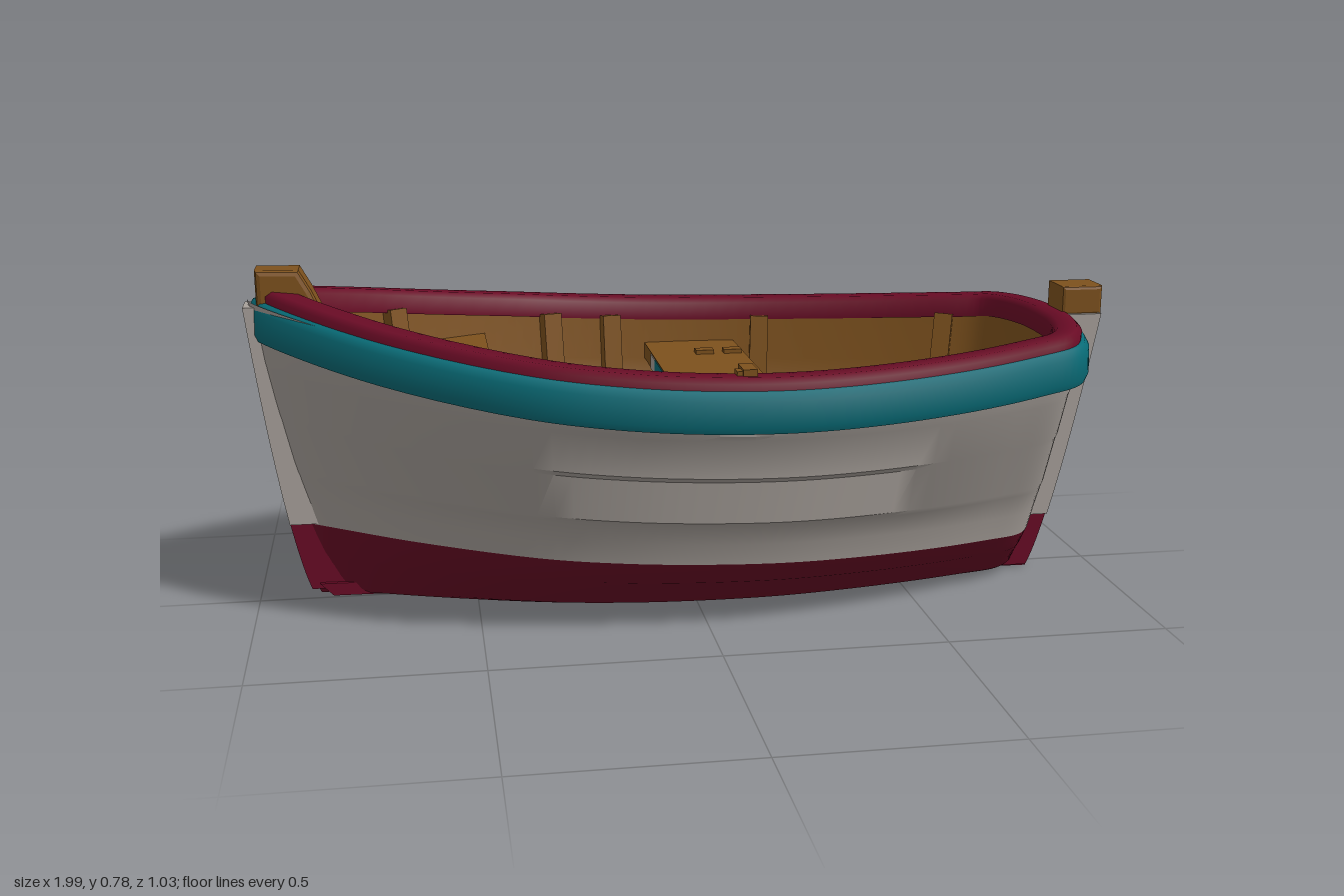
import * as THREE from 'three';
import { toCreasedNormals } from 'three/addons/utils/BufferGeometryUtils.js';

const paint = (name, color) => {
  const m = new THREE.MeshStandardMaterial({ color });
  m.name = name;
  return m;
};

// Half of the widest plan outline, bow (-x) to stern (+x)
const outline = new THREE.CatmullRomCurve3([
  [-0.985, 0], [-0.975, 0.035], [-0.9, 0.122], [-0.7, 0.287], [-0.4, 0.445], [-0.2, 0.495], [0, 0.512],
  [0.2, 0.505], [0.4, 0.468], [0.6, 0.41], [0.75, 0.35], [0.85, 0.3], [0.9, 0.22], [0.93, 0.1], [0.935, 0],
].map(([x, z]) => new THREE.Vector3(x, 0, z)));
const KNOTS = 14;
const BEAM = 0.512;

// Rail height, paint line and end edges along the boat
const sheer = (x) => 0.603 + (x < 0.2 ? 0.099 : 0.06) * (x - 0.2) ** 2;
const paintLine = (x) => 0.16 - 0.035 * x;
const bowEdge = (y) => -0.855 - 0.14 * (y / 0.7) ** 0.6;
const sternEdge = (y) => 0.83 + 0.16 * (y / 0.63) ** 0.75;

// Loop parameter u: 0 bow, 0.5 stern, 1 bow again on the other side
const side = (u) => (u <= 0.5 ? [u * 2, 1] : [2 - u * 2, -1]);

// Point on the hull for a midship profile point (y, w)
function hullPoint(u, y, w, shrink = 1) {
  const [t, s] = side(u);
  const o = outline.getPoint(t);
  const py = y < 0.15
    ? y * paintLine(o.x) / 0.15
    : paintLine(o.x) + (y - 0.15) / 0.455 * (sheer(o.x) - paintLine(o.x));
  const along = (o.x + 0.985) / 1.92;
  const x0 = bowEdge(py) + 0.01;
  const x1 = 0.8 + 0.12 * (py / 0.6) ** 0.7;
  const fullness = 1 + 0.45 * Math.max(0, 1 - y / 0.5);
  const z = w * (Math.max(o.z, 0) / BEAM) ** fullness;
  return [(x0 + (x1 - x0) * along) * shrink, py, s * z];
}
const liningPoint = (u, y, w) => hullPoint(u, y, w, 0.94);

// Point on a band: d inward from the outline, h relative to the rail top
function bandPoint(u, d, h) {
  const [t, s] = side(u);
  const o = outline.getPoint(t);
  const n = outline.getTangent(t);
  return [o.x + n.z * d, sheer(o.x) + h, s * Math.max(0, o.z - n.x * d)];
}

// Surface swept around the boat through a list of profile points
function sweep(pointAt, profile, crease = 0.6) {
  const nu = 140, rows = profile.length, pos = [], idx = [];
  for (let i = 0; i <= nu; i++) for (const p of profile) pos.push(...pointAt(i / nu, ...p));
  for (let i = 0; i < nu; i++) for (let j = 0; j < rows - 1; j++) {
    const a = i * rows + j, b = a + rows;
    idx.push(a, b, b + 1, a, b + 1, a + 1);
  }
  const g = new THREE.BufferGeometry();
  g.setAttribute('position', new THREE.Float32BufferAttribute(pos, 3));
  g.setIndex(idx);
  return toCreasedNormals(g, crease);
}

// Side-view polygon given thickness across the boat
function sideProfile(points, width, bevel = 0) {
  const g = new THREE.ExtrudeGeometry(new THREE.Shape(points.map((p) => new THREE.Vector2(...p))), {
    depth: width - 2 * bevel, bevelEnabled: bevel > 0, bevelSize: bevel, bevelThickness: bevel,
    bevelOffset: -bevel, bevelSegments: 2,
  });
  return g.translate(0, 0, -width / 2 + bevel);
}

// Curved end post between two heights; inset points into the hull
function post(edge, y0, y1, inset, width) {
  const outer = [], inner = [];
  for (let i = 0; i <= 8; i++) {
    const y = y0 + (y1 - y0) * i / 8;
    outer.push([edge(y), y]);
    inner.unshift([edge(y) + inset, y]);
  }
  return sideProfile([...outer, ...inner], width);
}

// Plank seat with ends that follow the hull
function seat(x0, x1, z0, z1, top) {
  const s = new THREE.Shape([[x0, -z0], [x1, -z1], [x1, z1], [x0, z0]].map((p) => new THREE.Vector2(...p)));
  return new THREE.ExtrudeGeometry(s, { depth: 0.04, bevelEnabled: false })
    .rotateX(Math.PI / 2).translate(0, top, 0);
}

// Upright timber leaning with the lining at loop position u
function rib(u) {
  const foot = new THREE.Vector3(...liningPoint(u, 0.33, 0.385));
  const head = new THREE.Vector3(...liningPoint(u, 0.56, 0.42));
  const next = new THREE.Vector3(...liningPoint(u + 0.005, 0.33, 0.385));
  const up = head.clone().sub(foot);
  const height = up.length();
  up.normalize();
  const out = next.sub(foot).cross(up).normalize();
  const along = up.clone().cross(out);
  const mid = foot.add(head).multiplyScalar(0.5).addScaledVector(out, -0.012);
  return new THREE.BoxGeometry(0.045, height, 0.04)
    .applyMatrix4(new THREE.Matrix4().makeBasis(along, up, out).setPosition(mid));
}

const box = (w, h, d, x, y, z) => new THREE.BoxGeometry(w, h, d).translate(x, y, z);

export function createModel() {
  const boat = new THREE.Group();
  boat.name = 'rowingBoat';
  const red = paint('darkRed', 0x690b25);
  const teal = paint('teal', 0x086a75);
  const white = paint('weatheredWhite', 0xa8a19b);
  const wood = paint('brownWood', 0x7d511d);
  const add = (name, geometry, material) => {
    const m = new THREE.Mesh(geometry, material);
    m.name = name;
    boat.add(m);
  };

  // Hull: painted bottom and lapped side planks
  add('hullBottom', sweep(hullPoint, [
    [0.012, 0], [0.018, 0.2], [0.026, 0.228], [0.085, 0.292], [0.093, 0.308], [0.14, 0.352], [0.15, 0.362],
  ]), red);
  add('hullPlanks', sweep(hullPoint, [
    [0.15, 0.362], [0.2, 0.374], [0.25, 0.398], [0.262, 0.412], [0.36, 0.428], [0.372, 0.442],
    [0.46, 0.454], [0.472, 0.464], [0.58, 0.475],
  ]), white);

  // Inner lining and floor
  add('lining', sweep(liningPoint, [
    [0.595, 0.432], [0.45, 0.415], [0.345, 0.4], [0.33, 0.388], [0.33, 0],
  ]), wood);

  // Rubbing band and rail cap
  add('rubbingBand', sweep(bandPoint, [
    [0.006, -0.115], [0, -0.1], [0.002, -0.045], [0.012, -0.028], [0.05, -0.022],
    [0.05, -0.115], [0.006, -0.115],
  ], 0.9), teal);
  add('railCap', sweep(bandPoint, [
    [0.022, -0.05], [0.02, -0.012], [0.032, 0], [0.074, 0], [0.086, -0.012], [0.086, -0.055], [0.022, -0.05],
  ], 0.9), red);

  // Keel, stem and stern posts
  add('keel', sideProfile([[-0.83, 0.02], [0.84, 0.002], [0.84, 0.03], [-0.86, 0.05]], 0.08), red);
  add('stemFoot', post(bowEdge, 0.035, 0.195, 0.08, 0.06), red);
  add('stem', post(bowEdge, 0.195, 0.7, 0.08, 0.08), white);
  add('sternFoot', post(sternEdge, 0.008, 0.138, -0.09, 0.1), red);
  add('sternPost', post(sternEdge, 0.138, 0.63, -0.09, 0.12), white);
  add('sternPostCap', sideProfile([[0.895, 0.625], [0.995, 0.625], [0.995, 0.695], [0.895, 0.695]], 0.1, 0.008), wood);

  // Bow bollard with its timber running down to the floor
  add('bowBollard', sideProfile([
    [-0.965, 0.69], [-0.9, 0.6], [-0.79, 0.37], [-0.7, 0.37], [-0.76, 0.55], [-0.845, 0.735],
    [-0.87, 0.78], [-0.965, 0.782],
  ], 0.09, 0.012), wood);
  add('bowStep', new THREE.CylinderGeometry(0.1, 0.1, 0.03, 32).translate(-0.73, 0.4, 0), wood);

  // Seats, with painted edges on the middle one
  add('bowSeat', seat(-0.65, -0.45, 0.255, 0.36, 0.55), wood);
  add('middleSeat', seat(-0.04, 0.19, 0.425, 0.42, 0.495), wood);
  for (const x of [-0.038, 0.188]) {
    add('seatEdgePaint', box(0.008, 0.036, 0.44, x, 0.474, 0), teal);
    add('seatEdgeBarePatch', box(0.008, 0.036, 0.07, x, 0.474, -0.255), white);
  }
  for (const x of [0.09, 0.16]) add('seatCleat', box(0.045, 0.012, 0.03, x, 0.499, -0.27), wood);
  add('seatBatten', box(0.035, 0.012, 0.13, 0.005, 0.499, 0.31), wood);

  // Ribs along both sides
  for (const knot of [2.9, 4.45, 5.3, 7.4, 10.2]) {
    const u = knot / KNOTS / 2;
    add('leftRib', rib(u), wood);
    add('rightRib', rib(1 - u), wood);
  }

  // Oar pin on the rail
  add('oarPin', box(0.035, 0.06, 0.03, 0.05, 0.585, 0.45), wood);
  add('oarPinArm', box(0.03, 0.025, 0.06, 0.06, 0.607, 0.44), wood);
  return boat;
}
